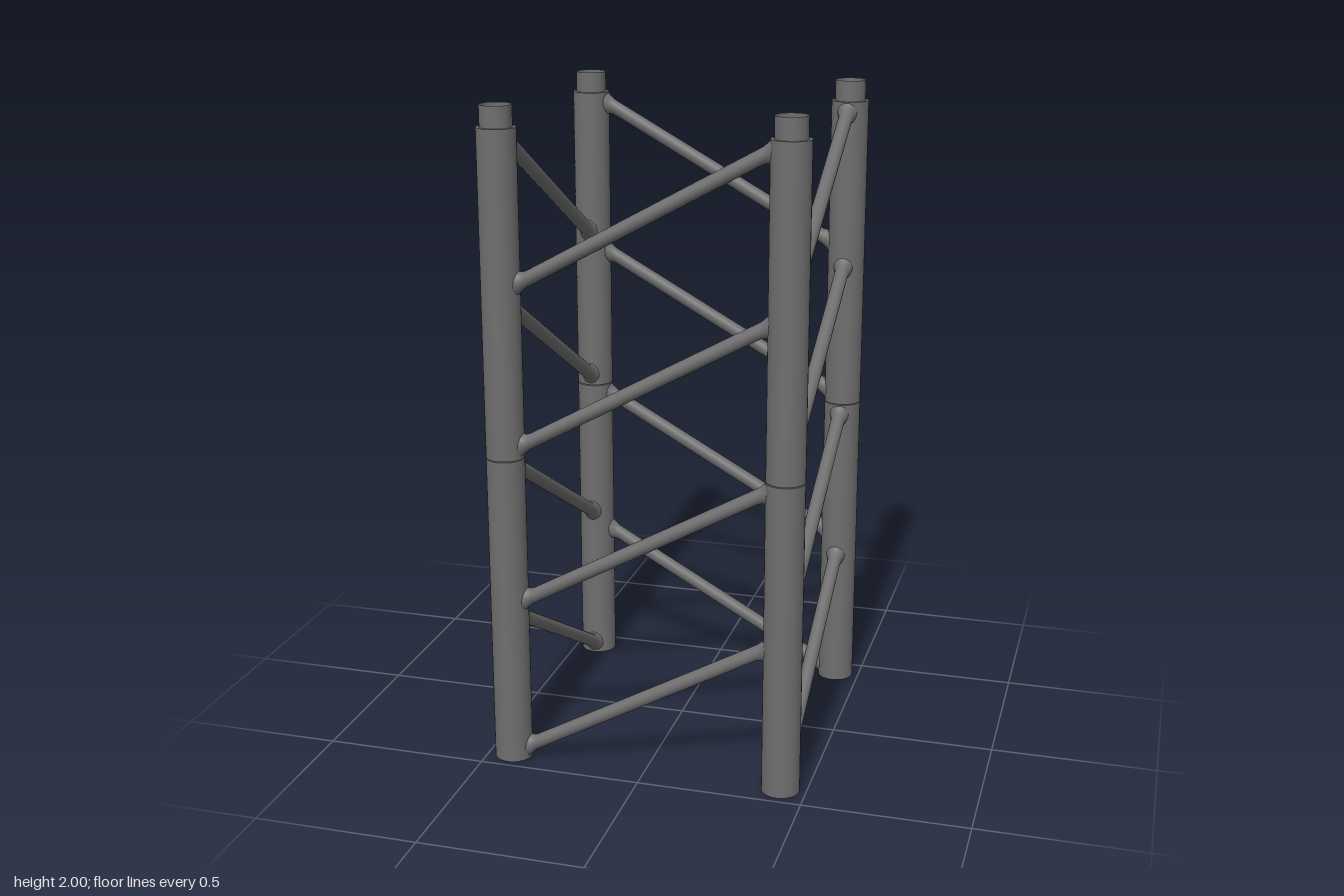
import * as THREE from 'three';
import { mergeVertices, toCreasedNormals } from 'three/addons/utils/BufferGeometryUtils.js';

const POST_R = 0.0575;    // post outer radius
const POST_AT = 0.422;    // post centre offset in x and z
const SECTION_H = 0.97;   // spacing of the stacked sections
const TUBE_H = 0.967;     // post height, leaving a fine seam between sections
const BRACE_R = 0.0215;
const SLOPE = 0.555;      // rise of a brace per unit across

// Hollow tube with a narrower spigot on top
function postGeometry() {
  const profile = [
    [0.0485, 0], [POST_R, 0], [POST_R, TUBE_H], [0.047, TUBE_H],
    [0.047, 1.03], [0.046, 1.03], [0.046, TUBE_H], [0.0485, 0.94], [0.0485, 0],
  ].map(([r, y]) => new THREE.Vector2(r, y));
  return toCreasedNormals(new THREE.LatheGeometry(profile, 32), 0.6);
}

// Sloping rod whose flared ends are cut to the curve of the posts
function braceGeometry() {
  const rings = [[-1, 0.031], [-0.36, 0.026], [-0.345, BRACE_R],
    [0.345, BRACE_R], [0.36, 0.026], [1, 0.031]];
  const geo = new THREE.CylinderGeometry(1, 1, 1, 20, rings.length - 1, true);
  geo.rotateZ(-Math.PI / 2);
  const pos = geo.attributes.position;
  const stretch = Math.hypot(1, SLOPE);
  for (let i = 0; i < pos.count; i++) {
    const [at, r] = rings[Math.round((pos.getX(i) + 0.5) * (rings.length - 1))];
    const z = pos.getZ(i) * r;
    const saddle = POST_AT - Math.sqrt((POST_R - 0.002) ** 2 - z * z);
    const x = Math.abs(at) === 1 ? at * saddle : at;
    pos.setXYZ(i, x, pos.getY(i) * r * stretch + SLOPE * x, z);
  }
  geo.deleteAttribute('uv');
  geo.deleteAttribute('normal');
  const merged = mergeVertices(geo, 1e-5);
  merged.computeVertexNormals();
  return merged;
}

export function createModel() {
  const model = new THREE.Group();
  model.name = 'latticeTower';
  const material = new THREE.MeshStandardMaterial({ color: 0x6e6e6e, side: THREE.DoubleSide });
  const postGeo = postGeometry();
  const braceGeo = braceGeometry();

  for (let s = 0; s < 2; s++) {
    const section = new THREE.Group();
    section.name = s ? 'upperSection' : 'lowerSection';
    section.position.y = s * SECTION_H;
    // Each side repeats the same post and pair of parallel braces, turned a quarter
    for (let side = 0; side < 4; side++) {
      const frame = new THREE.Group();
      frame.name = ['frontSide', 'leftSide', 'backSide', 'rightSide'][side];
      frame.rotation.y = side * Math.PI / 2;

      const post = new THREE.Mesh(postGeo, material);
      post.name = 'post';
      post.position.set(POST_AT, 0, POST_AT);
      frame.add(post);

      for (let b = 0; b < 2; b++) {
        const brace = new THREE.Mesh(braceGeo, material);
        brace.name = 'diagonalBrace';
        brace.position.set(0, SECTION_H * (0.25 + b * 0.5), POST_AT);
        frame.add(brace);
      }
      section.add(frame);
    }
    model.add(section);
  }
  return model;
}
